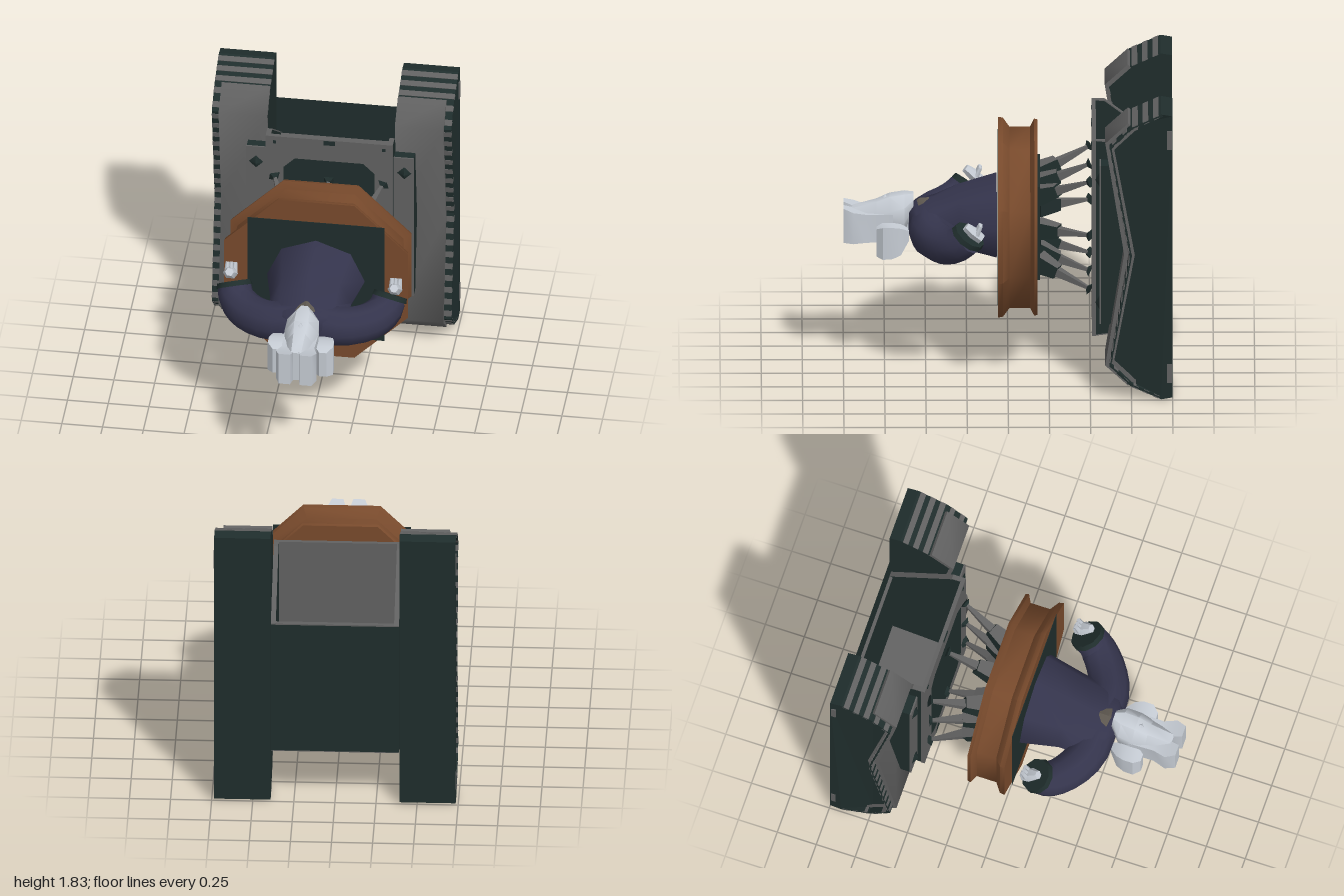
import * as THREE from 'three';
import { toCreasedNormals } from 'three/addons/utils/BufferGeometryUtils.js';

const mat = (name, color) => Object.assign(new THREE.MeshStandardMaterial({ color }), { name });
const V = (x, y, z) => new THREE.Vector3(x, y, z);

// Skin over closed rings of points, capped at both ends
function loft(rings, crease = 0.7) {
  const n = rings[0].length, pos = [], idx = [];
  rings.forEach(r => r.forEach(p => pos.push(p.x, p.y, p.z)));
  for (let i = 0; i < rings.length - 1; i++) for (let j = 0; j < n; j++) {
    const a = i * n + j, b = i * n + (j + 1) % n;
    idx.push(a, b, b + n, a, b + n, a + n);
  }
  [0, rings.length - 1].forEach((k, end) => {
    const c = rings[k].reduce((s, p) => s.add(p), V(0, 0, 0)).divideScalar(n);
    const ci = pos.length / 3;
    pos.push(c.x, c.y, c.z);
    for (let j = 0; j < n; j++) {
      const a = k * n + j, b = k * n + (j + 1) % n;
      end ? idx.push(ci, a, b) : idx.push(ci, b, a);
    }
  });
  const g = new THREE.BufferGeometry();
  g.setAttribute('position', new THREE.Float32BufferAttribute(pos, 3));
  g.setIndex(idx);
  return toCreasedNormals(g, crease);
}

// Elliptic ring across z
const ring = (z, rx, ry, cy, n = 8, turn = 0) => Array.from({ length: n }, (_, j) => {
  const a = (j + turn) / n * Math.PI * 2;
  return V(rx * Math.cos(a), cy + ry * Math.sin(a), z);
});

// Round limb along a curve with a radius that changes linearly
function limb(points, r0, r1, steps, n = 10) {
  const curve = new THREE.CatmullRomCurve3(points), rings = [];
  for (let i = 0; i <= steps; i++) {
    const t = curve.getTangent(i / steps), c = curve.getPoint(i / steps);
    const u = V(0, 1, 0).cross(t).normalize(), v = t.clone().cross(u), r = r0 + (r1 - r0) * i / steps;
    rings.push(Array.from({ length: n }, (_, j) => {
      const a = j / n * Math.PI * 2;
      return c.clone().addScaledVector(u, r * Math.cos(a)).addScaledVector(v, r * Math.sin(a));
    }));
  }
  return loft(rings, 1);
}

// Side profile of [z, y] points, extruded between two x values
function sideProfile(pts, x0, x1) {
  const s = new THREE.Shape(pts.map(([z, y]) => new THREE.Vector2(-z, y)));
  return new THREE.ExtrudeGeometry(s, { depth: x1 - x0, bevelEnabled: false }).rotateY(Math.PI / 2).translate(x0, 0, 0);
}

export function createModel() {
  const grey = mat('grey metal', 0x616161), dark = mat('dark green', 0x1f2d2c);
  const brown = mat('rust brown', 0x784a2c), navy = mat('navy cloth', 0x34344c);
  const pale = mat('pale stone', 0xc5cbd3), collar = mat('collar brown', 0x5c564e);
  const root = new THREE.Group();
  const add = (name, geo, m, parent = root) => {
    const mesh = new THREE.Mesh(geo, m);
    mesh.name = name;
    parent.add(mesh);
    return mesh;
  };
  const box = (name, x0, x1, y0, y1, z0, z1, m) =>
    add(name, new THREE.BoxGeometry(x1 - x0, y1 - y0, z1 - z0).translate((x0 + x1) / 2, (y0 + y1) / 2, (z0 + z1) / 2), m);
  const both = (x0, x1, s) => s > 0 ? [x0, x1] : [-x1, -x0];

  // Hull: open box with a sloping rim
  box('hullFront', -0.39, 0.39, 0.29, 1.55, -0.535, -0.51, grey);
  box('hullBack', -0.39, 0.39, 0.36, 1.23, -1, -0.97, dark);
  box('hullBackRim', -0.39, 0.39, 1.23, 1.238, -1, -0.97, grey);
  add('hullBackLining', new THREE.PlaneGeometry(0.78, 0.27).translate(0, 1.365, -0.99), dark);
  add('hullFloor', sideProfile([[-0.52, 0.29], [-1, 0.355], [-1, 0.385], [-0.52, 0.32]], -0.388, 0.388), grey);
  for (const s of [1, -1]) {
    const [a, b] = both(0.36, 0.39, s);
    add('hullSide', sideProfile([[-0.535, 0.3], [-1, 0.365], [-1, 1.23], [-0.59, 1.54], [-0.535, 1.545]], a, b), dark);
    add('hullRim', sideProfile([[-0.535, 1.545], [-0.59, 1.54], [-1, 1.23], [-1, 1.238], [-0.59, 1.549], [-0.535, 1.55]], a, b), grey);
  }
  const panel = new THREE.Shape([[-0.28, 0.52], [-0.21, 0.45], [0.21, 0.45], [0.28, 0.52], [0.28, 1.33], [0.21, 1.4], [-0.21, 1.4], [-0.28, 1.33]]
    .map(p => new THREE.Vector2(...p)));
  add('hullPanel', new THREE.ShapeGeometry(panel).translate(0, 0, -0.505), dark);
  box('hullMark', -0.035, 0.035, 1.515, 1.545, -0.512, -0.506, dark);
  for (const s of [1, -1]) box('hullMark', s * 0.335 - 0.01, s * 0.335 + 0.01, 1.5, 1.52, -0.512, -0.506, dark);
  add('hullMark', new THREE.CircleGeometry(0.06, 3, Math.PI / 2).translate(-0.15, 0.325, -0.506), dark);

  // Tracks: core with a recessed side, tread lip along the front, cover and cleats
  const half = [[-1, 0.015], [-0.93, 0.003], [-0.74, 0.09], [-0.615, 0.215]];
  const flip = pts => pts.map(([z, y]) => [z, 1.84 - y]).reverse();
  const tread = [...half, [-0.74, 0.92], ...flip(half)];
  const lipHalf = half.slice(1), lip = [...lipHalf, [-0.74, 0.92], ...flip(lipHalf)];
  const inset = d => lip.map(([z, y]) => [z - d, 0.92 + (y - 0.92) * (1 - d * 1.25)]);
  const cover = [[-0.73, 0.075], [-0.59, 0.205], [-0.705, 0.92], [-0.59, 1.635], [-0.73, 1.765],
    [-0.75, 1.745], [-0.615, 1.62], [-0.73, 0.92], [-0.615, 0.22], [-0.75, 0.095]];
  for (const s of [1, -1]) {
    const core = sideProfile(tread, ...both(0.392, 0.735, s)), p = core.attributes.position;
    for (let i = 0; i < p.count; i++)
      if (Math.abs(p.getX(i)) > 0.6 && p.getZ(i) > -0.9) p.setX(i, s * 0.692);
    core.computeVertexNormals();
    add('track', core, dark);
    add('treadLip', sideProfile([...lip, ...inset(0.012).reverse()], ...both(0.6, 0.735, s)), dark);
    add('treadSeam', sideProfile([...inset(0.012), ...inset(0.03).reverse()], ...both(0.6, 0.7, s)), grey);
    add('trackCover', toCreasedNormals(sideProfile(cover, ...both(0.392, 0.69, s)), 1.1), grey);
    // Cleats spaced evenly round the tread
    for (let i = 1; i < tread.length - 2; i++) {
      const [z0, y0] = tread[i], [z1, y1] = tread[i + 1];
      const len = Math.hypot(z1 - z0, y1 - y0), n = Math.round(len / 0.078);
      for (let k = 0; k < n; k++) {
        const t = (k + 0.5) / n;
        const c = add('cleat', new THREE.BoxGeometry(0.344, 0.037, 0.006), grey);
        c.position.set(s * 0.5635, y0 + (y1 - y0) * t, z0 + (z1 - z0) * t);
        c.rotation.x = Math.atan2(z1 - z0, y1 - y0);
        // Underside of the cleat, seen behind the lip
        add('cleatBack', new THREE.BoxGeometry(0.042, 0.037, 0.004).translate(s * 0.151, 0, -0.0145), grey, c);
      }
    }
    for (const y of [0.17, 1.67]) box('trackEndPlate', ...both(0.73, 0.738, s), y - 0.06, y + 0.06, -0.995, -0.965, grey);
    // Bracket beside the hull, with bolts
    box('bracket', ...both(0.39, 0.515, s), 0.41, 1.43, -0.565, -0.555, grey);
    box('bracketBase', ...both(0.39, 0.513, s), 0.412, 1.428, -0.75, -0.565, dark);
    for (const y of [0.53, 1.32])
      add('bolt', new THREE.ConeGeometry(0.045, 0.025, 4).rotateX(Math.PI / 2).translate(s * 0.455, y, -0.543), dark);
  }

  // Struts between hull and drum: sleeve, tapering shaft, foot
  const sides = [dark, dark, grey, grey, dark, dark];
  for (const i of [-1, 0, 1]) for (const j of [-1, 0, 1]) {
    if (!i && !j) continue;
    const strut = new THREE.Group();
    strut.name = 'strut';
    strut.position.set(i * 0.21, 0.92 + j * 0.21, -0.18);
    strut.lookAt(i * 0.335, 0.92 + j * 0.345, -0.5);
    root.add(strut);
    const L = Math.hypot(i * 0.125, j * 0.135, 0.32);
    const bar = (name, z0, z1, w0, w1, m) => {
      const g = new THREE.BoxGeometry(1, 1, z1 - z0).translate(0, 0, (z0 + z1) / 2), p = g.attributes.position;
      for (let k = 0; k < p.count; k++) {
        const w = p.getZ(k) < (z0 + z1) / 2 ? w0 : w1;
        p.setXY(k, p.getX(k) * w, p.getY(k) * w);
      }
      g.computeVertexNormals();
      add(name, g, m, strut);
    };
    bar('sleeve', 0, 0.14, 0.115, 0.075, sides);
    bar('shaft', 0.14, L - 0.01, 0.05, 0.018, grey);
    bar('foot', L - 0.02, L, 0.025, 0.06, dark);
  }

  // Eight-sided drum with two flanges
  const drum = [[0.001, -0.18], [0.55, -0.18], [0.555, -0.16], [0.51, -0.135], [0.51, -0.01], [0.56, 0.03], [0.565, 0.06], [0.001, 0.06]]
    .map(([r, z]) => new THREE.Vector2(r / Math.cos(Math.PI / 8), z));
  add('drum', toCreasedNormals(new THREE.LatheGeometry(drum, 8, Math.PI / 8).rotateX(Math.PI / 2), 0.82), brown).position.y = 0.92;
  box('drumPlate', -0.42, 0.42, 0.5, 1.34, 0.06, 0.063, dark);
  box('drumBackPlate', -0.3, 0.3, 0.62, 1.22, -0.195, -0.18, dark);

  // Figure: body and arms
  add('body', loft([ring(0.068, 0.3, 0.275, 0.935), ring(0.3, 0.25, 0.205, 0.93), ring(0.45, 0.24, 0.155, 0.9),
    ring(0.56, 0.18, 0.12, 0.91), ring(0.6, 0.1, 0.08, 0.92)], 1), navy);
  for (const s of [1, -1]) {
    const arm = [V(0.05, 0.9, 0.475), V(0.22, 0.875, 0.47), V(0.37, 0.87, 0.39), V(0.45, 0.9, 0.31), V(0.475, 0.95, 0.25)];
    const pts = arm.map(p => V(p.x * s, p.y, p.z));
    add('arm', limb(pts, 0.13, 0.105, 10), navy);
    add('cuff', limb([pts[4], V(0.482 * s, 0.975, 0.232)], 0.112, 0.105, 1), dark);
    const hand = new THREE.Group();
    hand.name = 'hand';
    hand.position.set(0.505 * s, s > 0 ? 0.995 : 1.02, 0.21);
    hand.rotation.x = -0.7;
    hand.scale.setScalar(1.05);
    root.add(hand);
    add('palm', loft([ring(-0.06, 0.025, 0.025, 0, 6), ring(0, 0.045, 0.035, 0, 6), ring(0.06, 0.035, 0.03, 0, 6)]).rotateX(Math.PI), pale, hand);
    for (const k of [-1, 0, 1])
      add('finger', new THREE.CylinderGeometry(0.013, 0.018, 0.06, 5).rotateX(0.3).translate(k * 0.022, 0.035, -0.01), pale, hand);
  }

  // Collar and head, with the face turned up
  add('collar', loft([ring(0.48, 0.05, 0.05, 1), ring(0.54, 0.085, 0.08, 0.965), ring(0.6, 0.06, 0.06, 0.93)]), collar);
  const headRing = (z, w, y0, y1) => ring(z, w * 1.06, (y1 - y0) / 1.85, (y0 + y1) / 2, 8, 0.5);
  add('head', loft([headRing(0.575, 0.05, 0.96, 1.08), headRing(0.63, 0.1, 0.84, 1.08), headRing(0.72, 0.105, 0.8, 1.065),
    headRing(0.8, 0.09, 0.795, 1.03), headRing(0.95, 0.075, 0.79, 0.99)], 0.9), pale);
  add('nose', new THREE.ConeGeometry(0.035, 0.04, 5).translate(0, 1.05, 0.745), pale);
  const quad = (z, x0, x1, y0, y1) => [V(x0, y0, z), V(x1, y0, z), V(x1, y1, z), V(x0, y1, z)];
  for (const s of [1, -1]) {
    const q = (z, x0, x1, y0, y1) => quad(z, ...both(x0, x1, s), y0, y1);
    add('sideFlap', loft([q(0.6, 0.1, 0.14, 0.82, 0.88), q(0.65, 0.09, 0.185, 0.74, 0.91), q(0.7, 0.09, 0.2, 0.72, 0.92),
      q(0.76, 0.09, 0.2, 0.715, 0.92), q(0.8, 0.12, 0.165, 0.725, 0.9)]), pale);
    add('crownFin', loft([q(0.7, 0.06, 0.105, 0.8, 0.97), q(0.86, 0.055, 0.1, 0.79, 0.97),
      q(0.94, 0.015, 0.125, 0.79, 0.99), q(1, 0.03, 0.1, 0.79, 1.01)], 0.9), pale);
  }
  return root;
}
